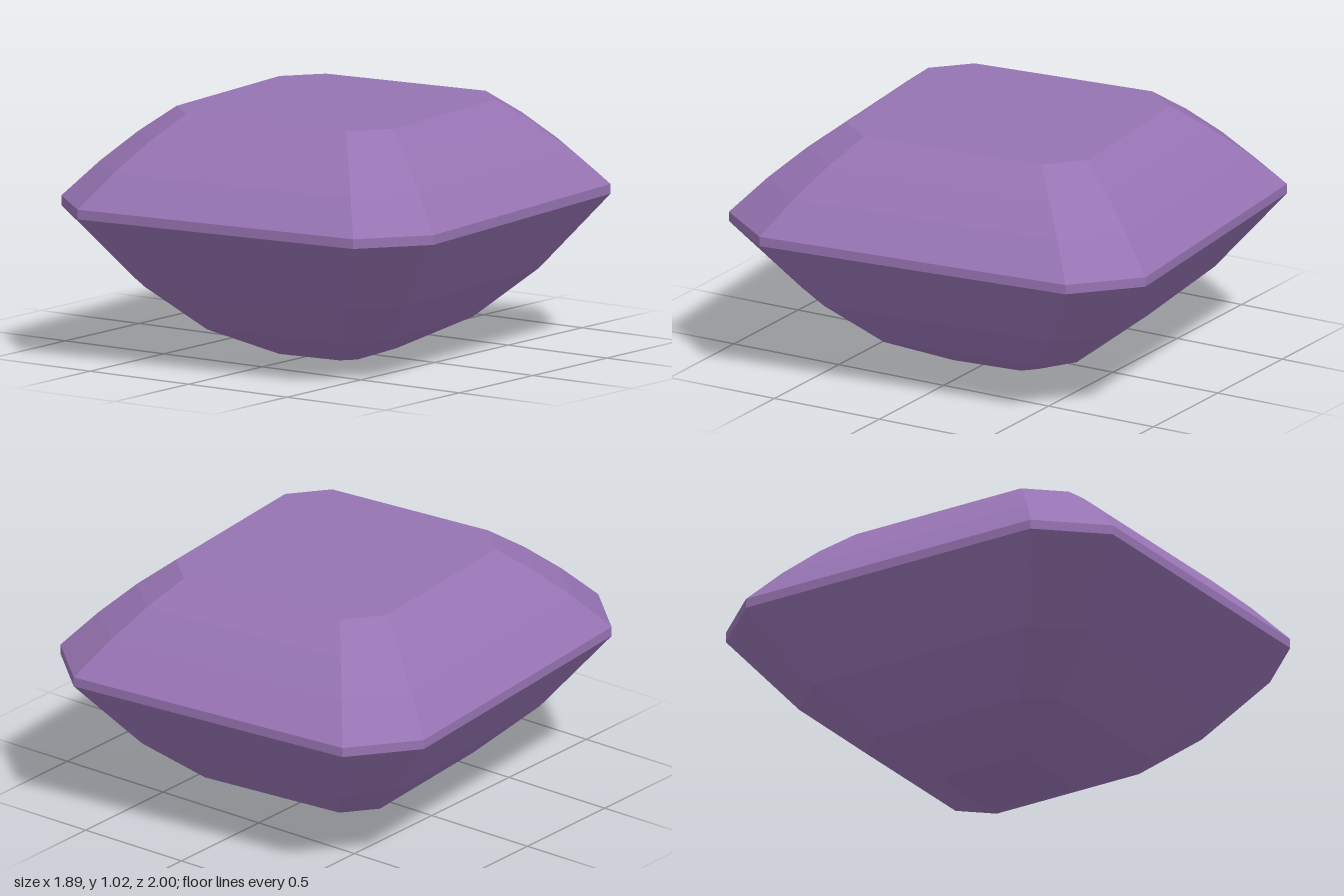
import * as THREE from 'three';

// Girdle outline of the emerald cut (x, z), one quarter mirrored into an octagon
const W = 0.885, D = 0.942, CW = 0.655, CD = 0.692;
const OUTLINE = [
  [W, CD], [CW, D], [-CW, D], [-W, CD],
  [-W, -CD], [-CW, -D], [CW, -D], [W, -CD],
];

// Rings as [height, scale of the outline]
const PAVILION = [[0, 0.22], [0.125, 0.5], [0.32, 0.74], [0.62, 1]];
const GIRDLE = [[0.62, 1], [0.66, 1]];
const CROWN = [[0.66, 1], [0.8, 0.86], [0.92, 0.72], [1.02, 0.58]];

const corner = ([y, s], i) => {
  const [x, z] = OUTLINE[i % OUTLINE.length];
  return [x * s, y, z * s];
};

function facets(triangles) {
  const geometry = new THREE.BufferGeometry();
  geometry.setAttribute('position', new THREE.Float32BufferAttribute(triangles.flat(), 3));
  geometry.computeVertexNormals();
  return geometry;
}

// Bands of flat facets between successive rings
function bands(rings) {
  const t = [];
  for (let r = 0; r < rings.length - 1; r++) {
    for (let i = 0; i < OUTLINE.length; i++) {
      const a = corner(rings[r], i), b = corner(rings[r], i + 1);
      const c = corner(rings[r + 1], i + 1), d = corner(rings[r + 1], i);
      t.push(a, d, c, a, c, b);
    }
  }
  return facets(t);
}

// Flat facet closing a ring, facing up or down
function cap(ring, up) {
  const t = [];
  for (let i = 0; i < OUTLINE.length; i++) {
    const a = corner(ring, i), b = corner(ring, i + 1);
    t.push([0, ring[0], 0], up ? b : a, up ? a : b);
  }
  return facets(t);
}

export function createModel() {
  const gem = new THREE.Group();
  gem.name = 'gemstone';
  const amethyst = new THREE.MeshStandardMaterial({ color: 0x9673b2, flatShading: true });
  amethyst.name = 'amethyst purple';

  const add = (name, geometry) => {
    const mesh = new THREE.Mesh(geometry, amethyst);
    mesh.name = name;
    gem.add(mesh);
  };
  add('culet', cap(PAVILION[0], false));
  add('pavilion', bands(PAVILION));
  add('girdle', bands(GIRDLE));
  add('crown', bands(CROWN));
  add('table', cap(CROWN[CROWN.length - 1], true));

  // The stone sits slightly turned
  gem.rotation.y = 0.0955;
  const model = new THREE.Group();
  model.name = 'cutGem';
  model.add(gem);
  return model;
}
